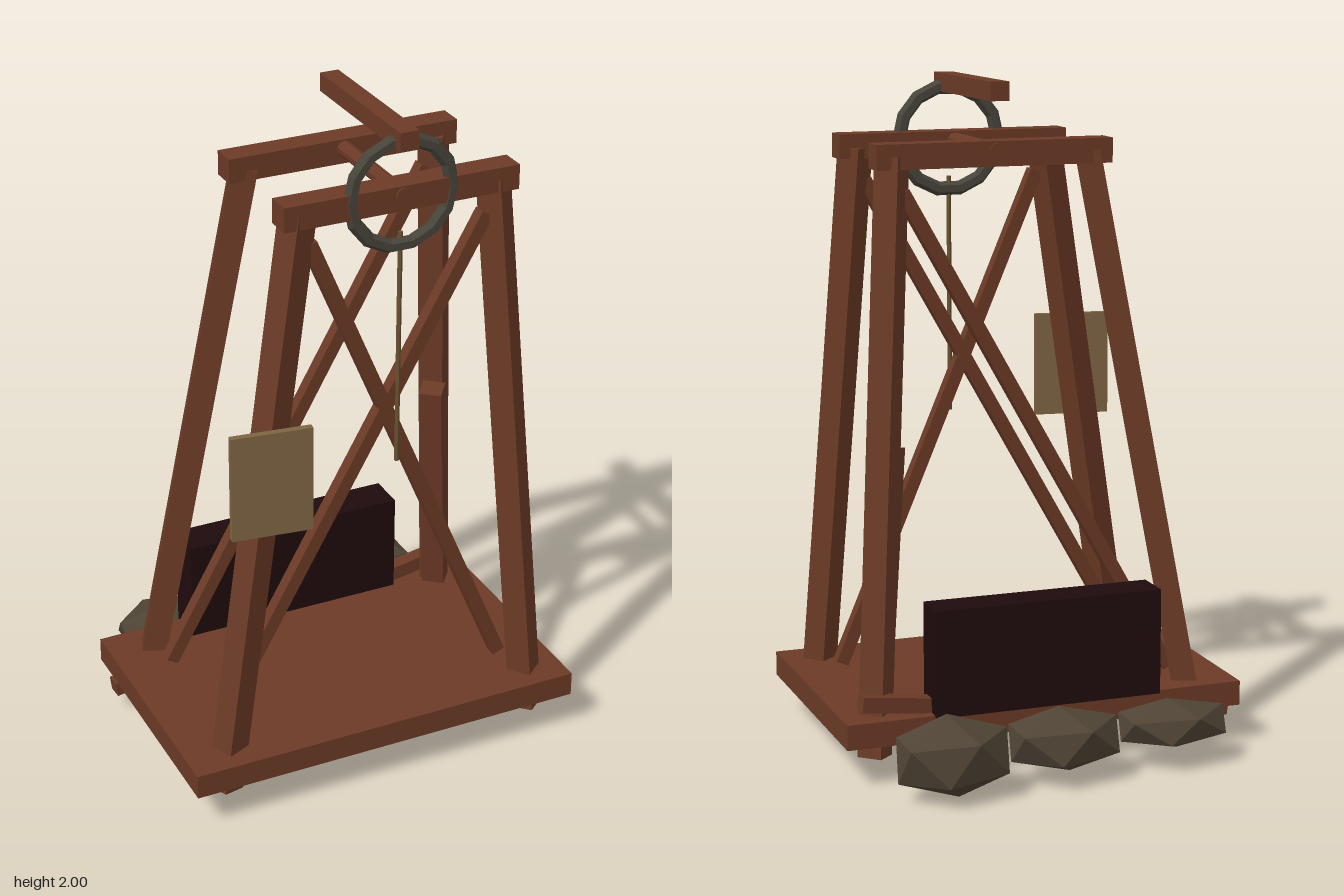
import * as THREE from 'three';

const mat = (name, color) => {
  const m = new THREE.MeshStandardMaterial({ color, flatShading: true });
  m.name = name;
  return m;
};

export function createModel() {
  const group = new THREE.Group();
  const wood = mat('wood', 0x6b3a26);
  const darkWood = mat('dark wood', 0x1f0a0c);
  const iron = mat('iron', 0x47443a);
  const stone = mat('stone', 0x4f4435);
  const rope = mat('rope', 0x6a5230);
  const signWood = mat('sign wood', 0x7d6442);

  const add = (name, geometry, material, x, y, z) => {
    const mesh = new THREE.Mesh(geometry, material);
    mesh.name = name;
    mesh.position.set(x, y, z);
    group.add(mesh);
    return mesh;
  };
  // box given by its extents on each axis
  const box = (name, material, [x0, x1], [y0, y1], [z0, z1]) =>
    add(name, new THREE.BoxGeometry(x1 - x0, y1 - y0, z1 - z0), material,
      (x0 + x1) / 2, (y0 + y1) / 2, (z0 + z1) / 2);
  // square timber running between two points
  const timber = (name, size, from, to) => {
    const a = new THREE.Vector3(...from), b = new THREE.Vector3(...to);
    const mid = a.clone().add(b).multiplyScalar(0.5);
    const mesh = add(name, new THREE.BoxGeometry(size, size, a.distanceTo(b)), wood, mid.x, mid.y, mid.z);
    mesh.lookAt(b);
    return mesh;
  };

  // platform
  box('platform', wood, [-0.617, 0.617], [0.12, 0.195], [-0.26, 0.525]);

  // splayed legs and the beams they carry
  for (const [side, zTop, zLow] of [['front', 0.305, 0.435], ['back', -0.055, -0.173]]) {
    timber(side + 'RightLeg', 0.075, [-0.495, 0.065, zLow], [-0.195, 1.79, zTop]);
    timber(side + 'LeftLeg', 0.075, [0.51, 0.065, zLow], [0.403, 1.79, zTop]);
  }
  box('frontBeam', wood, [-0.257, 0.46], [1.757, 1.83], [0.275, 0.353]);
  box('backBeam', wood, [-0.257, 0.46], [1.757, 1.83], [-0.096, 0.018 - 0.036]);
  box('topBar', wood, [0.071, 0.128], [1.945, 2], [-0.12, 0.385]);

  // diagonal braces
  for (const z of [0.315, -0.055]) timber('risingBrace', 0.04, [-0.465, 0.205, z], [0.375, 1.69, z]);
  timber('fallingBrace', 0.04, [0.467, 0.205, 0.315], [-0.17, 1.7, 0.315]);

  // axle, pulley wheel and hanging rope
  const axle = add('axle', new THREE.CylinderGeometry(0.023, 0.023, 0.46, 10), wood, 0.1, 1.803, 0.128);
  axle.rotation.x = Math.PI / 2;
  add('pulleyWheel', new THREE.TorusGeometry(0.156, 0.0215, 6, 14), iron, 0.1, 1.805, 0.337);
  add('rope', new THREE.CylinderGeometry(0.007, 0.007, 0.72, 6), rope, 0.1, 1.33, 0.337);

  // sign board
  const sign = add('signBoard', new THREE.BoxGeometry(0.236, 0.323, 0.02), signWood, -0.35, 1.067, 0.463);
  sign.rotation.y = -0.13;

  // trough, leaning post and the loose timber behind
  box('trough', darkWood, [-0.348, 0.352], [0.19, 0.51], [-0.275, -0.156]);
  timber('leaningPost', 0.07, [0.5, 0.16, -0.15], [0.415, 0.95, -0.045]);
  timber('looseTimber', 0.046, [-0.617, 0.085, -0.152], [0.563, 0.243, -0.215]);

  // boulders
  for (const [x, z, height, depth] of [[-0.35, -0.36, 0.077, 0.122], [0.001, -0.383, 0.1, 0.134], [0.352, -0.415, 0.126, 0.135]]) {
    const rock = new THREE.IcosahedronGeometry(1, 0).rotateZ(0.46).scale(0.192, height, depth);
    rock.computeVertexNormals();
    add('boulder', rock, stone, x, 0.126, z);
  }
  return group;
}
